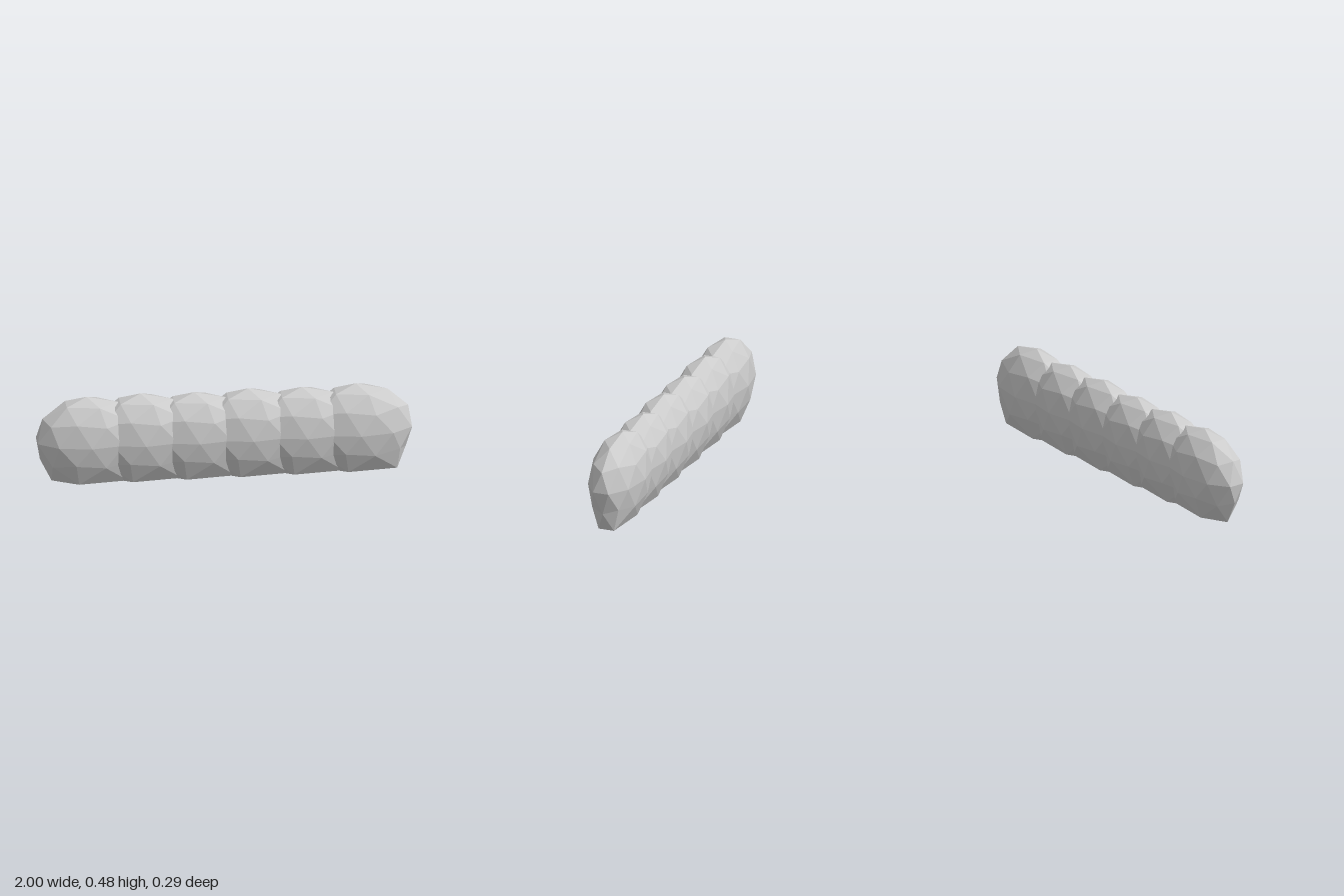
import * as THREE from 'three';

const RX = 0.295, RY = 0.243, RZ = 0.143, MID = 0.235;

// One faceted leaf clump: a stretched icosphere with a pole on top and a flat base
function clumpGeometry(height) {
  const geo = new THREE.IcosahedronGeometry(1, 1);
  geo.rotateX(-Math.atan((1 + Math.sqrt(5)) / 2)); // bring a corner to the top
  geo.rotateY(Math.PI / 2);
  const p = geo.attributes.position;
  for (let i = 0; i < p.count; i++) {
    let x = p.getX(i) * RX, y = MID + p.getY(i) * RY * height, z = p.getZ(i) * RZ;
    if (p.getY(i) > 0.99) { x -= 0.015; z -= 0.006; } // crown leans a little
    if (p.getY(i) < -0.8) { // flatten and widen the foot
      x *= x > 0 ? 1.6 : 1.3;
      y = 0;
    }
    p.setXYZ(i, x, y, z);
  }
  geo.computeVertexNormals();
  return geo;
}

export function createModel() {
  const hedge = new THREE.Group();
  hedge.name = 'hedge';
  const material = new THREE.MeshStandardMaterial({ color: 0xcccccc, flatShading: true });

  // Row of overlapping clumps, with slightly different heights
  const heights = [0.99, 1.01, 0.98, 1.01, 0.985, 1.01];
  heights.forEach((h, i) => {
    const clump = new THREE.Mesh(clumpGeometry(h), material);
    clump.name = `leafClump${i + 1}`;
    clump.position.x = (i - 2.5) * 0.287;
    hedge.add(clump);
  });
  return hedge;
}
